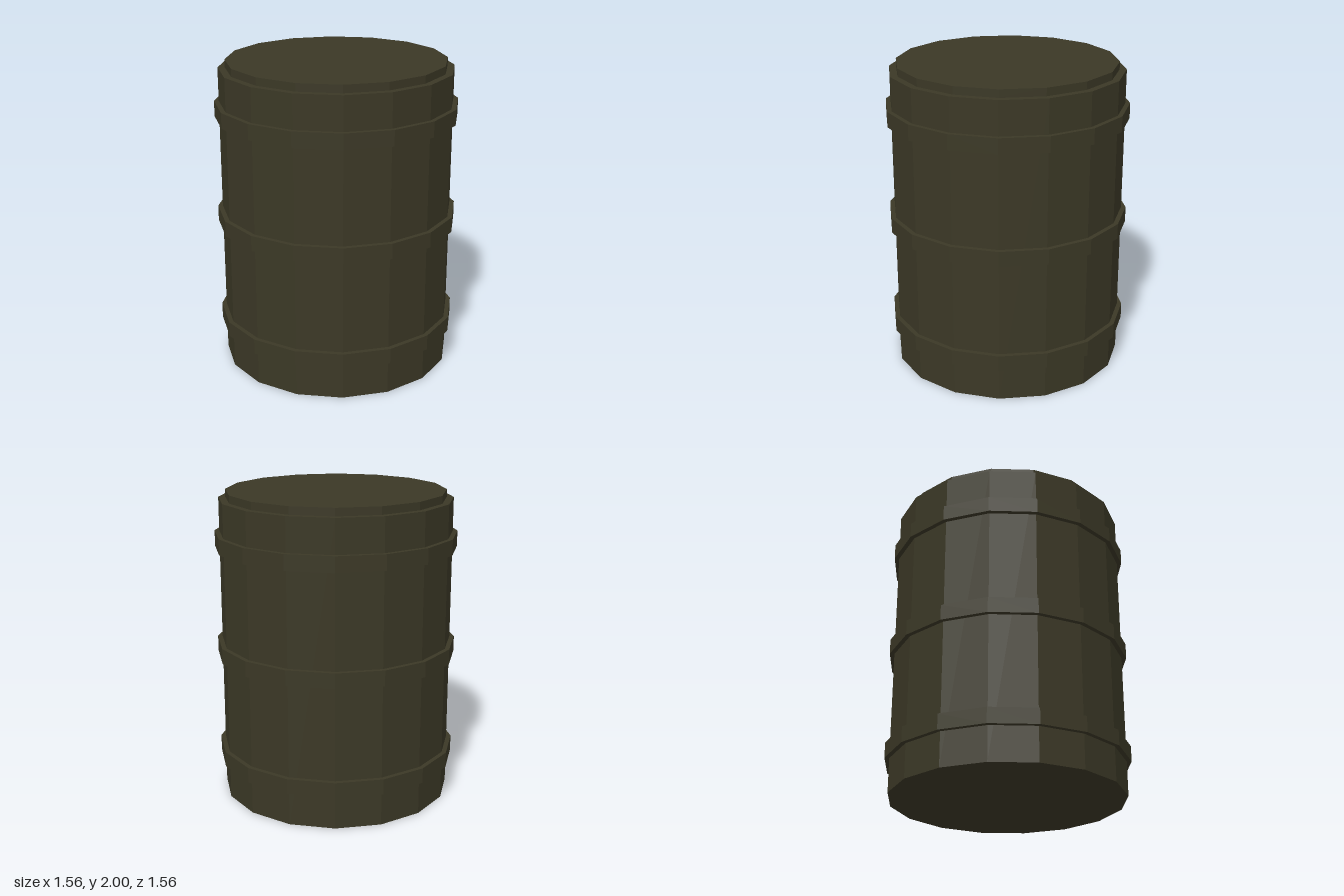
import * as THREE from 'three';

const SIDES = 16;
const BODY_RADIUS = 0.75;
const BODY_HEIGHT = 1.95;

export function createModel() {
  const barrel = new THREE.Group();
  barrel.name = 'barrel';

  const olive = new THREE.MeshStandardMaterial({ color: 0x3b3826, flatShading: true });
  olive.name = 'darkOlive';

  const add = (name, geometry, y) => {
    const mesh = new THREE.Mesh(geometry, olive);
    mesh.name = name;
    mesh.position.y = y;
    barrel.add(mesh);
  };

  // Drum body
  add('body', new THREE.CylinderGeometry(BODY_RADIUS, BODY_RADIUS, BODY_HEIGHT, SIDES), BODY_HEIGHT / 2);

  // Raised lid, set in from the rim
  add('lid', new THREE.CylinderGeometry(0.705, 0.705, 0.05, SIDES), BODY_HEIGHT + 0.025);

  // Three square-edged hoops around the body
  const hoopProfile = [
    [BODY_RADIUS, -0.05], [0.78, -0.05], [0.78, 0.05], [BODY_RADIUS, 0.05],
  ].map(([r, y]) => new THREE.Vector2(r, y));
  const hoops = { lowerHoop: 0.27, middleHoop: 0.977, upperHoop: 1.684 };
  for (const [name, y] of Object.entries(hoops)) {
    add(name, new THREE.LatheGeometry(hoopProfile, SIDES), y);
  }

  return barrel;
}
